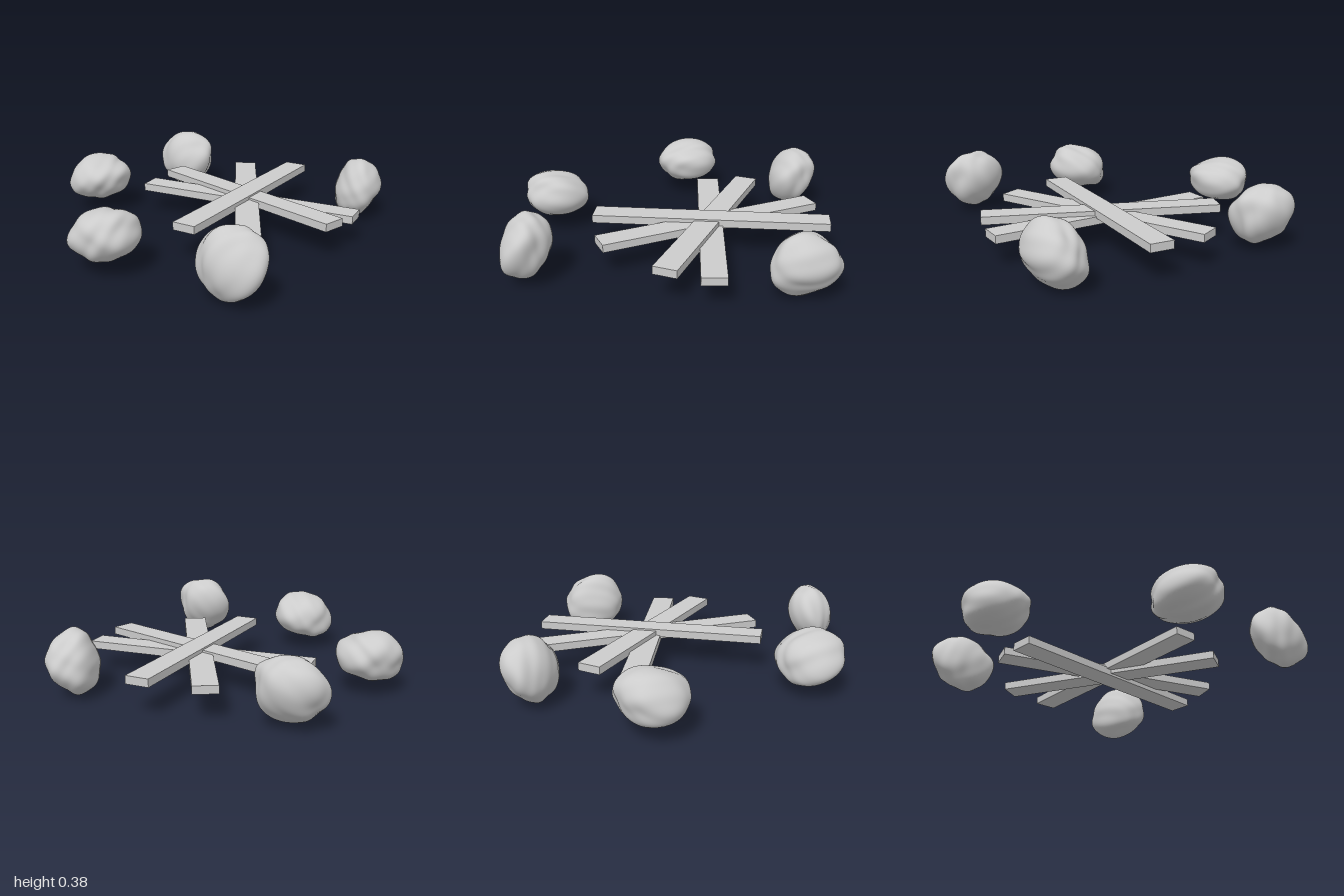
import * as THREE from 'three';
import { mergeVertices } from 'three/addons/utils/BufferGeometryUtils.js';

const material = new THREE.MeshStandardMaterial({ color: 0xcccccc });

// Gentle lumps over a unit direction
function lump(d, seed) {
  const { x, y, z } = d;
  return 1
    + 0.05 * Math.sin(2.6 * x + 3.1 * y + seed) * Math.cos(2.9 * z - seed)
    + 0.035 * Math.sin(4.7 * y - 3.3 * z + 2 * seed)
    + 0.022 * Math.sin(6.1 * x + 5.2 * z + 3 * seed) * Math.cos(5.5 * y + seed)
    + 0.01 * Math.sin(9 * x - 7 * y + 8 * z + seed);
}

// A flattened, lumpy boulder: its thin axis points along `axis`,
// and it fills the box between `min` and `max`
function makeRock(name, min, max, axis, seed) {
  let geo = new THREE.IcosahedronGeometry(1, 14);
  geo.deleteAttribute('uv');
  geo.deleteAttribute('normal');
  geo = mergeVertices(geo, 1e-4);
  const p = geo.attributes.position;
  const v = new THREE.Vector3();
  for (let i = 0; i < p.count; i++) {
    v.fromBufferAttribute(p, i).normalize();
    v.multiplyScalar(lump(v, seed));
    p.setXYZ(i, v.x, v.y * 0.7, v.z * 0.95);
  }
  geo.applyQuaternion(new THREE.Quaternion().setFromUnitVectors(
    new THREE.Vector3(0, 1, 0), new THREE.Vector3(...axis).normalize()));

  geo.computeBoundingBox();
  const target = new THREE.Box3(new THREE.Vector3(...min), new THREE.Vector3(...max));
  const size = geo.boundingBox.getSize(new THREE.Vector3());
  const centre = geo.boundingBox.getCenter(new THREE.Vector3());
  const scale = target.getSize(new THREE.Vector3()).divide(size);
  geo.translate(-centre.x, -centre.y, -centre.z);
  geo.scale(scale.x, scale.y, scale.z);
  geo.computeVertexNormals();

  const mesh = new THREE.Mesh(geo, material);
  mesh.name = name;
  mesh.position.copy(target.getCenter(new THREE.Vector3()));
  return mesh;
}

export function createModel() {
  const model = new THREE.Group();
  model.name = 'rockRingWithPlanks';

  // Crossed planks, stacked with a slight overlap: [turn about y, centre height]
  const planks = new THREE.Group();
  planks.name = 'crossedPlanks';
  planks.position.set(0.19, 0, 0.07);
  const plankGeo = new THREE.BoxGeometry(1.338, 0.045, 0.135);
  [[-1.196, 0.162], [0.812, 0.176], [Math.PI / 2, 0.188], [0.286, 0.198]].forEach(([turn, y], i) => {
    const plank = new THREE.Mesh(plankGeo, material);
    plank.name = `plank${i + 1}`;
    plank.position.y = y;
    plank.rotation.y = turn;
    planks.add(plank);
  });
  model.add(planks);

  // Surrounding rocks
  model.add(
    makeRock('backRightRock', [-0.475, 0.08, -0.94], [-0.09, 0.35, -0.585], [-0.1, 1, 0], 1.3),
    makeRock('backLeftRock', [0.3, 0.03, -0.96], [0.595, 0.375, -0.58], [1, -0.35, -0.25], 2.9),
    makeRock('leftRock', [0.65, 0.005, 0.245], [1, 0.37, 0.565], [0.6, -0.3, 0.75], 4.4),
    makeRock('frontRightRock', [-0.72, 0.025, 0.59], [-0.44, 0.388, 0.955], [1, -0.35, -0.35], 5.7),
    makeRock('rightRock', [-1, 0.07, -0.11], [-0.61, 0.348, 0.26], [0, 1, -0.25], 0.4),
  );
  return model;
}
